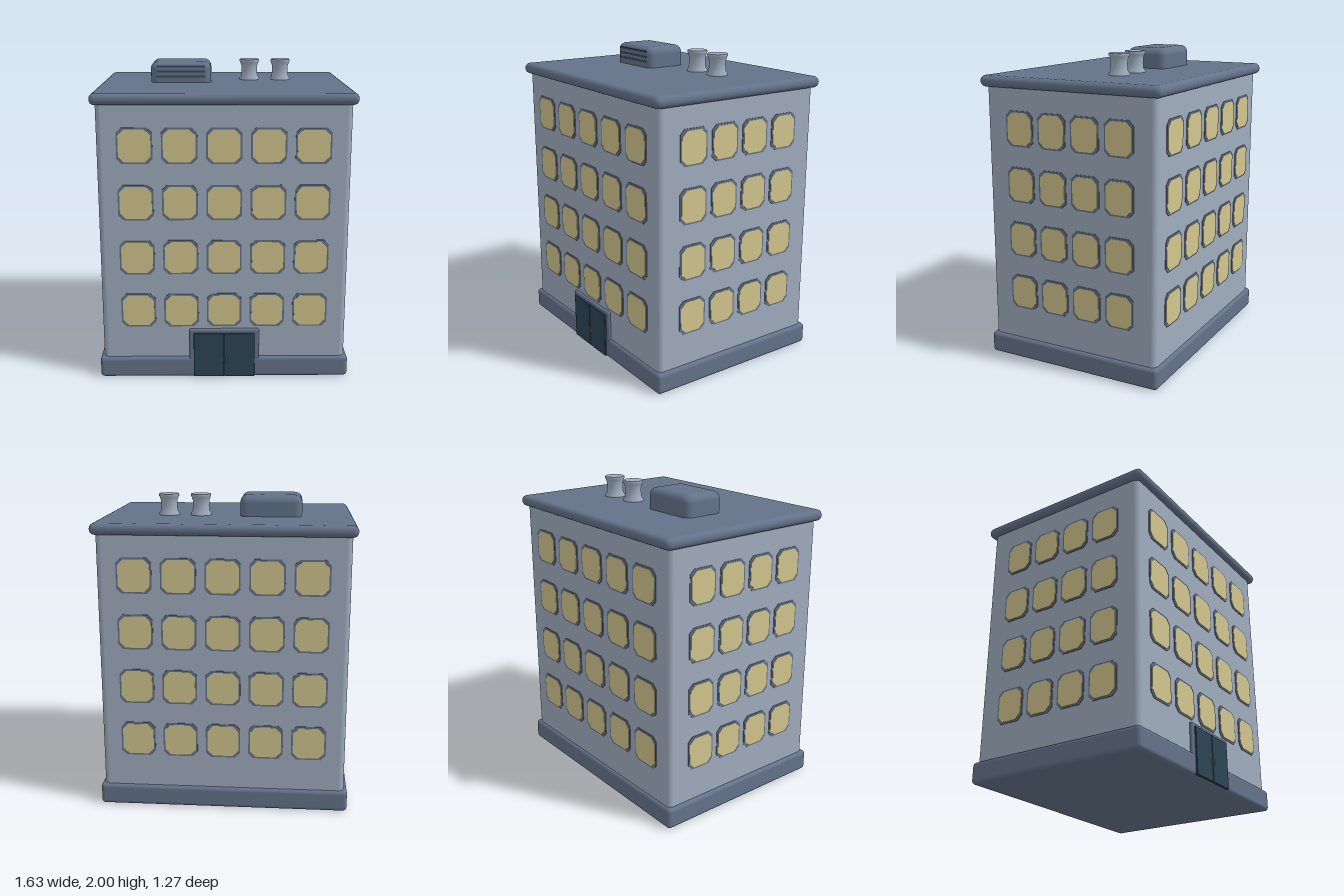
import * as THREE from 'three';
import { RoundedBoxGeometry } from 'three/addons/geometries/RoundedBoxGeometry.js';

const material = (name, color) => {
  const m = new THREE.MeshStandardMaterial({ color });
  m.name = name;
  return m;
};

// Thin plate with cut corners, back face on z = 0
function cutPlate(w, h, cut, depth) {
  const x = w / 2, y = h / 2, c = cut;
  const points = [[-x + c, -y], [x - c, -y], [x, -y + c], [x, y - c],
    [x - c, y], [-x + c, y], [-x, y - c], [-x, -y + c]];
  const shape = new THREE.Shape(points.map(p => new THREE.Vector2(...p)));
  return new THREE.ExtrudeGeometry(shape, { depth, bevelEnabled: false });
}

export function createModel() {
  const wall = material('wall grey', 0xa0adbe);
  const trim = material('slate trim', 0x64738a);
  const glass = material('warm window', 0xd2c68e);
  const doorPaint = material('dark teal', 0x2c4655);
  const slot = material('vent shadow', 0x3a4756);
  const metal = material('handle metal', 0x8290a0);

  const model = new THREE.Group();
  model.name = 'apartmentBlock';

  const add = (parent, name, geometry, mat, x = 0, y = 0, z = 0) => {
    const mesh = new THREE.Mesh(geometry, mat);
    mesh.name = name;
    mesh.position.set(x, y, z);
    parent.add(mesh);
    return mesh;
  };
  // Rounded box given by its limits in x, y and z
  const block = (parent, name, mat, [x0, x1], [y0, y1], [z0, z1], radius) =>
    add(parent, name, new RoundedBoxGeometry(x1 - x0, y1 - y0, z1 - z0, 4, radius), mat,
      (x0 + x1) / 2, (y0 + y1) / 2, (z0 + z1) / 2);

  // Main masses
  block(model, 'walls', wall, [-0.785, 0.785], [0.05, 1.84], [-0.6, 0.6], 0.035);
  block(model, 'plinth', trim, [-0.808, 0.808], [0, 0.14], [-0.62, 0.62], 0.025);
  block(model, 'roof', trim, [-0.816, 0.816], [1.79, 1.862], [-0.635, 0.635], 0.034);

  // Windows: five columns front and back, four on each side
  const rows = [0.465, 0.823, 1.181, 1.54];
  const sides = [
    { name: 'front', turn: 0, out: 0.6, columns: 5, step: 0.275, width: 0.222 },
    { name: 'left', turn: 1, out: 0.785, columns: 4, step: 0.235, width: 0.198 },
    { name: 'back', turn: 2, out: 0.6, columns: 5, step: 0.275, width: 0.222 },
    { name: 'right', turn: 3, out: 0.785, columns: 4, step: 0.235, width: 0.198 },
  ];
  for (const { name, turn, out, columns, step, width } of sides) {
    const side = new THREE.Group();
    side.name = name + 'Windows';
    side.rotation.y = turn * Math.PI / 2;
    const frame = cutPlate(width, 0.226, 0.032, 0.007);
    const pane = cutPlate(width - 0.022, 0.204, 0.036, 0.006);
    for (const y of rows) {
      for (let i = 0; i < columns; i++) {
        const x = (i - (columns - 1) / 2) * step;
        add(side, 'windowFrame', frame, trim, x, y, out - 0.003);
        add(side, 'windowPane', pane, glass, x, y, out + 0.001);
      }
    }
    model.add(side);
  }

  // Entrance: surround, two door leaves and their handles
  const entrance = new THREE.Group();
  entrance.name = 'entrance';
  block(entrance, 'doorSurround', trim, [-0.226, 0.226], [0.01, 0.335], [0.56, 0.619], 0.012);
  add(entrance, 'doorGap', new THREE.BoxGeometry(0.39, 0.295, 0.02), slot, 0, 0.158, 0.613);
  for (const s of [-1, 1]) {
    block(entrance, 'doorLeaf', doorPaint, s < 0 ? [-0.198, -0.002] : [0.002, 0.198],
      [0.008, 0.31], [0.6, 0.63], 0.003);
    add(entrance, 'handle', new THREE.CapsuleGeometry(0.004, 0.038, 3, 8), metal, s * 0.014, 0.132, 0.633);
  }
  model.add(entrance);

  // Rooftop air unit with three louvre slots
  const unit = new THREE.Group();
  unit.name = 'airUnit';
  block(unit, 'unitCasing', trim, [-0.48, -0.08], [1.8, 2], [-0.22, 0.07], 0.05);
  for (const y of [1.902, 1.935, 1.968]) {
    // the top slot follows the rounded edge of the casing
    const z = y > 1.95 ? 0.066 : 0.068;
    add(unit, 'louvreSlot', new THREE.BoxGeometry(0.32, 0.012, 0.009), slot, -0.28, y, z);
  }
  model.add(unit);

  // Waisted chimney pots
  const profile = [[0.067, 1.855], [0.067, 1.872], [0.057, 1.885], [0.053, 1.92], [0.054, 1.955],
    [0.061, 1.977], [0.066, 1.985], [0.066, 1.996], [0.062, 2], [0, 2]];
  const pot = new THREE.LatheGeometry(profile.map(p => new THREE.Vector2(...p)), 28);
  for (const x of [0.18, 0.39]) add(model, 'chimneyPot', pot, wall, x, 0, -0.135);

  return model;
}
